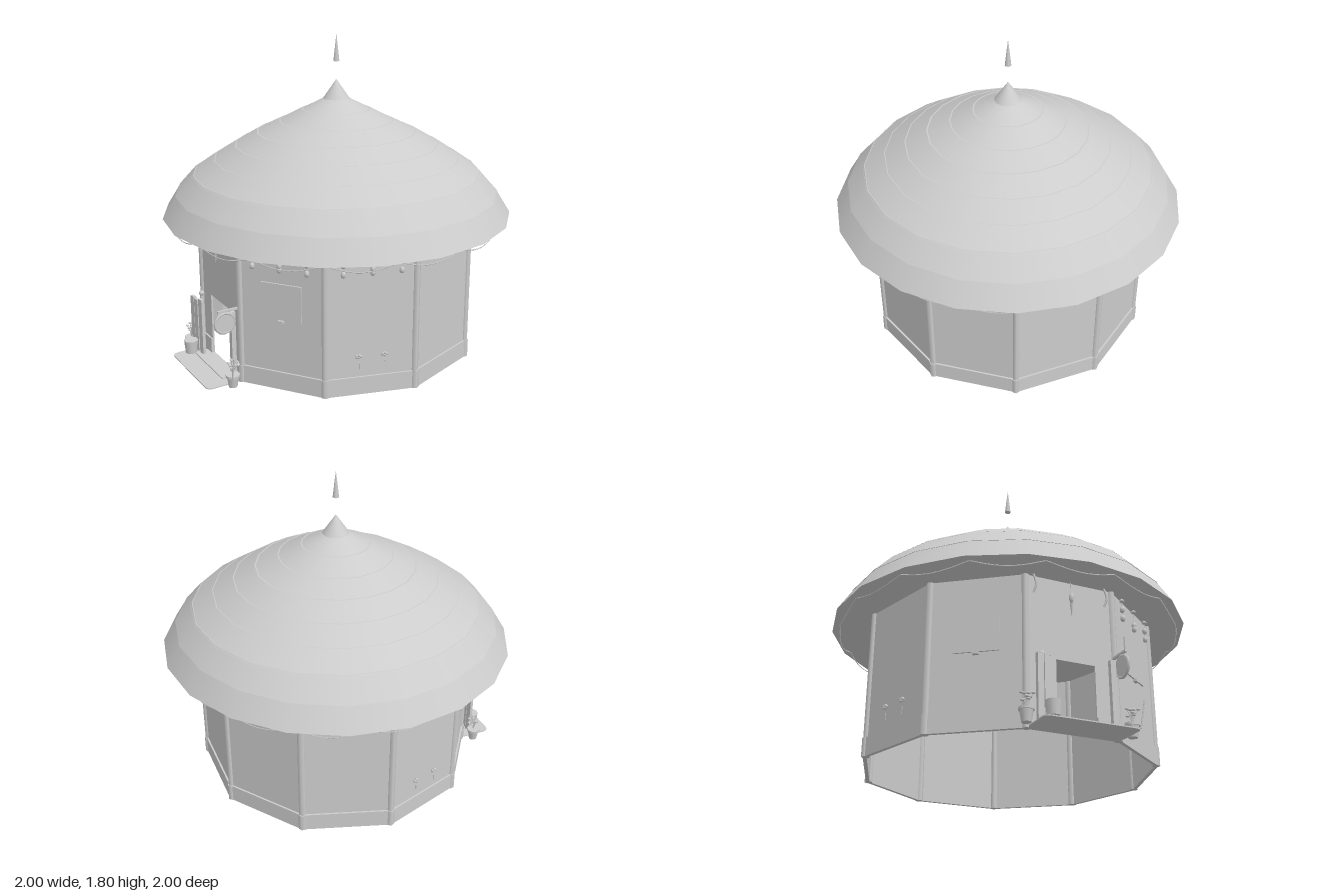
import * as THREE from 'three';

export function createModel() {
  const root = new THREE.Group();
  const plaster = new THREE.MeshStandardMaterial({ color: 0xcccccc, side: THREE.DoubleSide });
  plaster.name = 'pale grey';

  const add = (parent, name, geo, x = 0, y = 0, z = 0, rx = 0, ry = 0, rz = 0) => {
    const m = new THREE.Mesh(geo, plaster);
    m.name = name;
    m.position.set(x, y, z);
    m.rotation.set(rx, ry, rz);
    parent.add(m);
    return m;
  };
  const box = (w, h, d) => new THREE.BoxGeometry(w, h, d);
  const cyl = (rt, rb, h, n = 10) => new THREE.CylinderGeometry(rt, rb, h, n);
  const tube = (pts, r, n = 12) => new THREE.TubeGeometry(
    new THREE.CatmullRomCurve3(pts.map(p => new THREE.Vector3(...p))), n, r, 5);
  const deg = Math.PI / 180;
  const R = 0.795, apothem = R * Math.cos(18 * deg), chord = 2 * R * Math.sin(18 * deg);

  // Each wall side is a group whose +z points outward
  const sides = {};
  const side = angle => {
    const g = new THREE.Group();
    g.name = 'wallSide';
    g.rotation.y = angle * deg;
    root.add(g);
    sides[angle] = g;
    return g;
  };

  // Ten-sided wall with corner posts and base skirting; one side has the doorway
  for (let i = 0; i < 10; i++) {
    const angle = -32 + i * 36, g = side(angle);
    const s = new THREE.Shape();
    const w = chord / 2;
    if (i === 0) {
      [[-w, 0], [-0.13, 0], [-0.13, 0.37], [0.13, 0.37], [0.13, 0], [w, 0], [w, 0.8], [-w, 0.8]]
        .forEach(([x, y], k) => (k ? s.lineTo(x, y) : s.moveTo(x, y)));
      for (const e of [-1, 1]) add(g, 'skirting', box(w - 0.13, 0.1, 0.02), e * (w + 0.13) / 2, 0.05, apothem);
    } else {
      s.moveTo(-w, 0).lineTo(w, 0).lineTo(w, 0.8).lineTo(-w, 0.8);
      add(g, 'skirting', box(chord, 0.1, 0.02), 0, 0.05, apothem);
    }
    add(g, 'wallPanel', new THREE.ExtrudeGeometry(s, { depth: 0.01, bevelEnabled: false }), 0, 0, apothem - 0.01);
    const a = (angle + 18) * deg;
    add(root, 'cornerPost', cyl(0.02, 0.02, 0.8, 6), (R - 0.006) * Math.sin(a), 0.4, (R - 0.006) * Math.cos(a), 0, a);
    add(root, 'skirtingCorner', cyl(0.023, 0.023, 0.1, 6), (R - 0.004) * Math.sin(a), 0.05, (R - 0.004) * Math.cos(a), 0, a);
  }

  // Stepped thatch roof
  const tiers = [[0.08, 1.44], [0.205, 1.38], [0.335, 1.315], [0.465, 1.255], [0.59, 1.185],
    [0.71, 1.11], [0.83, 1.03], [0.925, 0.925], [1.0, 0.8]];
  tiers.forEach(([r, y], i) => {
    const [topR, topY] = i ? [tiers[i - 1][0] - 0.008, tiers[i - 1][1] + 0.008] : [0, 1.555];
    add(root, 'roofTier', cyl(topR, r, topY - y, 20), 0, (topY + y) / 2, 0, 0, 3.4 * deg);
  });
  add(root, 'finial', cyl(0.001, 0.018, 0.145, 8), 0, 1.7275, 0);

  // Swagged cord below the eaves
  const cord = [];
  for (let i = 0; i < 128; i++) {
    const a = i / 128 * Math.PI * 2, y = 0.795 - 0.037 * Math.abs(Math.sin(a * 8));
    cord.push(new THREE.Vector3(0.955 * Math.sin(a), y, 0.955 * Math.cos(a)));
  }
  add(root, 'eaveCord', new THREE.TubeGeometry(new THREE.CatmullRomCurve3(cord, true), 192, 0.003, 4, true));

  // Window plates with a small latch
  for (const angle of [4, 292]) {
    const g = sides[angle];
    add(g, 'window', box(0.23, 0.2, 0.009), 0, 0.5, apothem + 0.004);
    add(g, 'windowLatch', box(0.03, 0.014, 0.02), 0, 0.392, apothem + 0.01);
  }

  // Strings of oval beads
  for (const angle of [4, 40, 148]) {
    [-0.155, 0, 0.155].forEach((x, k) => {
      const g = sides[angle], z = apothem + 0.02;
      add(g, 'beadCord', cyl(0.0015, 0.0015, 0.12, 4), x, 0.74, z);
      [0.785, 0.735 - (k === 1 ? 0.03 : 0), 0.685].forEach((y, j) =>
        add(g, 'bead', new THREE.SphereGeometry(0.014, 8, 6), x, y, z).scale.set(1, j ? 1.35 : 0.7, 1));
    });
  }

  // Small wall flowers
  for (const angle of [40, 256]) {
    for (const x of [-0.07, 0.07]) {
      const g = sides[angle], z = apothem + 0.012;
      for (let k = 0; k < 5; k++) {
        const a = k * Math.PI * 0.4;
        add(g, 'petal', new THREE.SphereGeometry(0.008, 6, 4),
          x + 0.012 * Math.cos(a), 0.22 + 0.007 * Math.sin(a), z);
      }
      add(g, 'flowerStem', cyl(0.003, 0.001, 0.04, 5), x + 0.005, 0.165, z);
    }
  }

  // Doorway group
  const door = sides[-32];
  const matShape = new THREE.Shape(), mr = 0.04, mw = 0.25, md = 0.1;
  matShape.moveTo(-mw + mr, -md).lineTo(mw - mr, -md).quadraticCurveTo(mw, -md, mw, -md + mr)
    .lineTo(mw, md - mr).quadraticCurveTo(mw, md, mw - mr, md).lineTo(-mw + mr, md)
    .quadraticCurveTo(-mw, md, -mw, md - mr).lineTo(-mw, -md + mr).quadraticCurveTo(-mw, -md, -mw + mr, -md);
  add(door, 'doorMat', new THREE.ExtrudeGeometry(matShape, { depth: 0.006, bevelEnabled: false }),
    0, 0.006, apothem + 0.105, Math.PI / 2);
  add(door, 'threshold', box(0.37, 0.012, 0.1), 0, 0.006, apothem + 0.04);

  // Open plank door and rail post on one jamb
  [[-0.21, 0.075], [-0.172, 0.07], [-0.137, 0.06]].forEach(([x, z], k) =>
    add(door, 'doorPlank', box(0.034, 0.33 - (k === 1 ? 0.015 : 0), 0.018), x, 0.187, apothem + z, 0, 0.15));
  add(door, 'doorPost', cyl(0.012, 0.012, 0.36, 8), -0.18, 0.18, apothem + 0.035);
  add(door, 'postKnob', new THREE.SphereGeometry(0.016, 8, 6), -0.18, 0.37, apothem + 0.035);
  add(door, 'bucket', cyl(0.04, 0.033, 0.075, 12), -0.165, 0.07, apothem + 0.12);

  // Round hanging sign, set square to the wall
  add(door, 'signBoard', cyl(0.055, 0.055, 0.014, 12), 0.235, 0.355, apothem + 0.085, 0, 0, Math.PI / 2);
  add(door, 'signRim', new THREE.TorusGeometry(0.056, 0.009, 6, 12), 0.235, 0.355, apothem + 0.085, 0, Math.PI / 2);
  add(door, 'signBracket', box(0.012, 0.012, 0.13), 0.235, 0.424, apothem + 0.06);
  add(door, 'signPost', box(0.03, 0.4, 0.025), 0.21, 0.2, apothem + 0.03);

  // Potted plants either side
  for (const x of [-0.28, 0.28]) {
    const z = apothem + 0.07;
    add(door, 'pot', cyl(0.034, 0.024, 0.062, 10), x, 0.033, z);
    add(door, 'potRim', cyl(0.039, 0.039, 0.013, 10), x, 0.066, z);
    for (let k = 0; k < 9; k++) {
      const a = k * 2.4, r = 0.012 + 0.022 * (k % 3) / 2, y = 0.145 - 0.01 * (k % 4);
      add(door, 'stem', tube([[x, 0.07, z], [x + r * 0.4 * Math.cos(a), 0.11, z + r * 0.4 * Math.sin(a)],
        [x + r * Math.cos(a), y, z + r * Math.sin(a)]], 0.002, 4));
      add(door, 'leaf', new THREE.SphereGeometry(0.01, 6, 4), x + r * Math.cos(a), y, z + r * Math.sin(a))
        .scale.set(1.2, 0.5, 1);
    }
  }
  add(door, 'leaningStick', cyl(0.004, 0.004, 0.15, 5), 0.33, 0.12, apothem + 0.09, 0, 0, -0.2);

  // Charm above the doorway
  add(door, 'charmCord', cyl(0.002, 0.002, 0.1, 4), 0, 0.75, apothem + 0.015);
  add(door, 'charm', new THREE.SphereGeometry(0.013, 8, 6), 0, 0.71, apothem + 0.02).scale.y = 2.2;
  add(door, 'charmTassel', cyl(0.009, 0.002, 0.07, 6), 0, 0.645, apothem + 0.02);
  for (const x of [-0.21, 0.19]) {
    add(door, 'vine', tube([[x, 0.8, apothem + 0.02], [x + 0.012, 0.75, apothem + 0.025],
      [x, 0.7, apothem + 0.015]], 0.006, 6));
  }

  // Lanterns hung on the inside
  for (const x of [-0.2, 0.2]) {
    const z = apothem - 0.05;
    add(door, 'lanternCord', tube([[x * 1.4, 0.75, z], [x * 1.3, 0.6, z], [x, 0.41, z]], 0.003, 8));
    add(door, 'lantern', box(0.035, 0.055, 0.035), x, 0.37, z);
    add(door, 'lanternCap', cyl(0.008, 0.028, 0.018, 4), x, 0.407, z, 0, Math.PI / 4);
  }
  return root;
}
